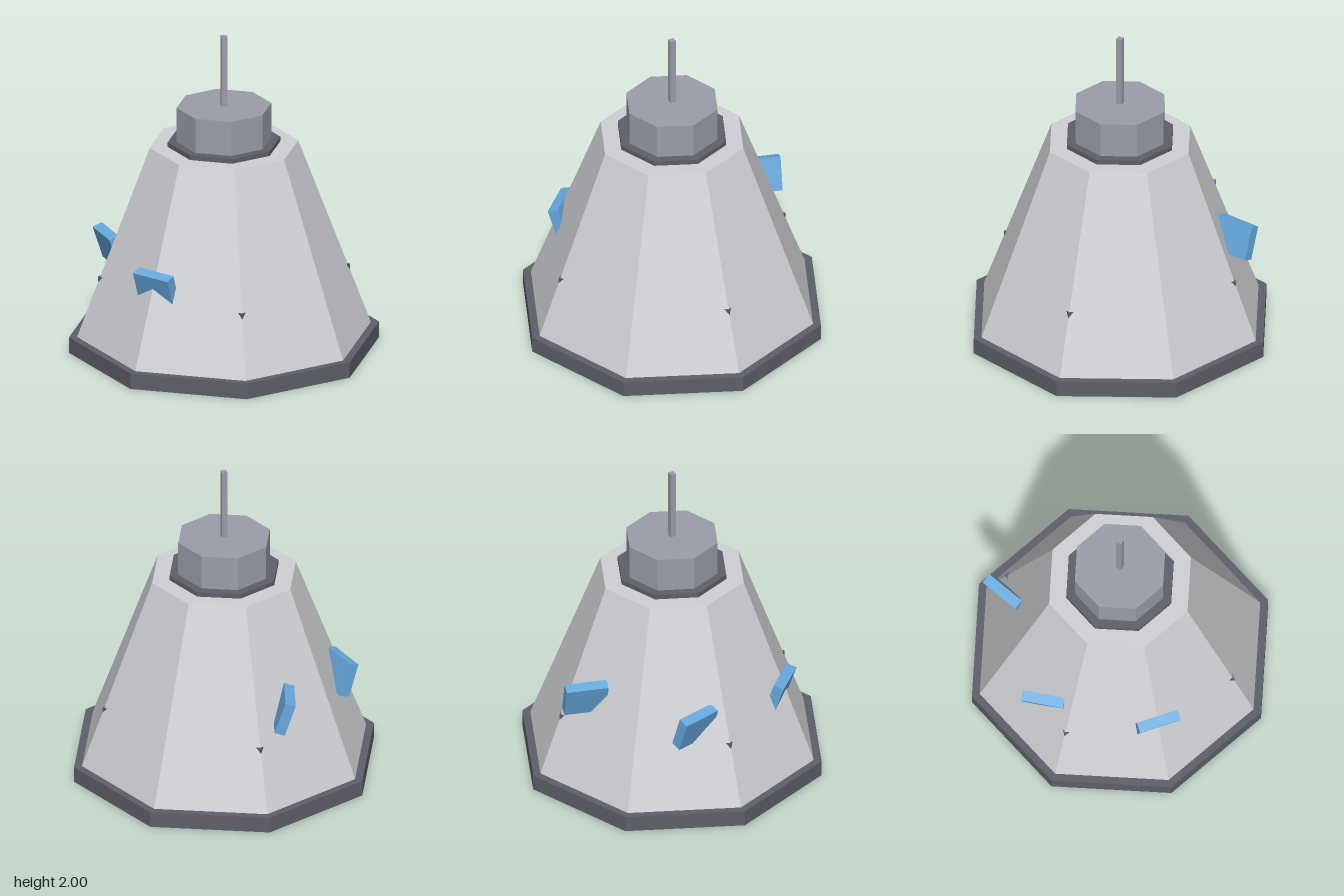
import * as THREE from 'three';

export function createModel() {
  const model = new THREE.Group();
  model.name = 'capsule';

  const paint = (name, color) => {
    const m = new THREE.MeshStandardMaterial({ color, flatShading: true });
    m.name = name;
    return m;
  };
  const hullGrey = paint('hullGrey', 0xcfd0d4);
  const darkGrey = paint('darkGrey', 0x5d5f69);
  const metalGrey = paint('metalGrey', 0x9a9da8);
  const windowBlue = paint('windowBlue', 0x66a8dc);

  const add = (name, geometry, material, x = 0, y = 0, z = 0) => {
    const mesh = new THREE.Mesh(geometry, material);
    mesh.name = name;
    mesh.position.set(x, y, z);
    model.add(mesh);
    return mesh;
  };

  // Faceted prism or frustum between two heights
  const prism = (name, top, bottom, y0, y1, sides, material) =>
    add(name, new THREE.CylinderGeometry(top, bottom, y1 - y0, sides), material, 0, (y0 + y1) / 2, 0);

  // Body stack, bottom to top
  prism('heatShield', 0.95, 0.95, 0, 0.1, 8, darkGrey);
  prism('hull', 0.455, 0.9, 0.1, 1.3, 8, hullGrey);
  prism('collar', 0.345, 0.345, 1.3, 1.33, 8, darkGrey);
  prism('hatch', 0.29, 0.29, 1.33, 1.55, 8, metalGrey);
  prism('antenna', 0.025, 0.025, 1.55, 2, 4, metalGrey);

  // Small thrusters poking through the diagonal ridges
  for (const sx of [-1, 1]) {
    for (const sz of [-1, 1]) {
      add('thruster', new THREE.BoxGeometry(0.08, 0.08, 0.08), darkGrey, sx * 0.505, 0.445, sz * 0.505);
    }
  }

  // Tilted windows, each placed by the middle of its outer top edge
  const pane = new THREE.BoxGeometry(0.26, 0.213, 0.065).translate(0, -0.1065, -0.0325);
  const windows = [
    [0, 0.66, 0.75, 0],
    [-0.637, 0.695, 0.392, -Math.PI / 6],
    [-0.663, 0.775, -0.328, -Math.PI / 3],
  ];
  for (const [x, y, z, yaw] of windows) {
    const mesh = add('window', pane, windowBlue, x, y, z);
    mesh.rotation.set(0.32, yaw, 0, 'YXZ');
  }

  return model;
}
